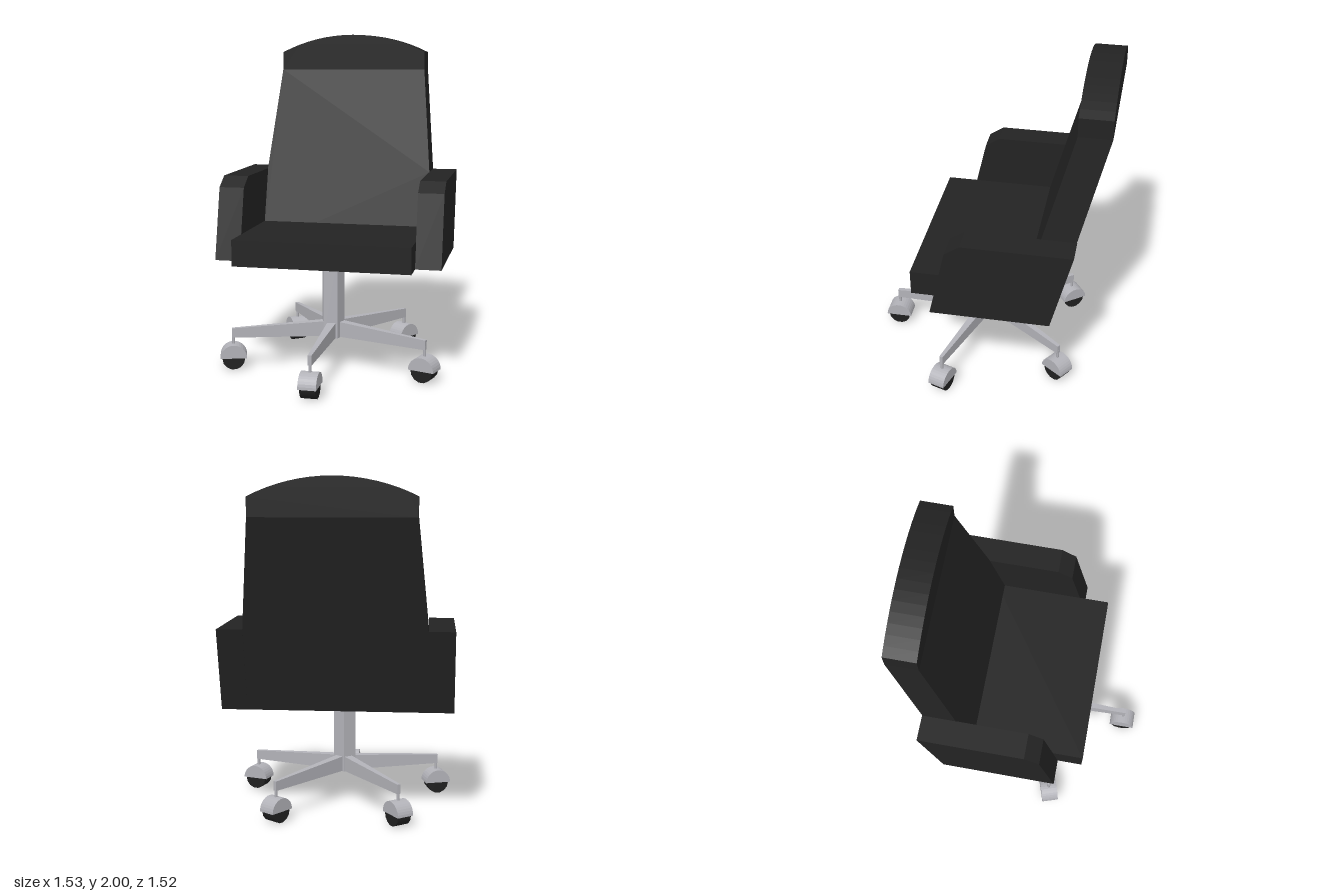
import * as THREE from 'three';

const fabric = new THREE.MeshStandardMaterial({ color: 0x232323 });
fabric.name = 'black upholstery';
const metal = new THREE.MeshStandardMaterial({ color: 0xb2b2b8 });
metal.name = 'grey metal';
const rubber = new THREE.MeshStandardMaterial({ color: 0x202020 });
rubber.name = 'black rubber';

function add(parent, name, geometry, material, x = 0, y = 0, z = 0) {
  const mesh = new THREE.Mesh(geometry, material);
  mesh.name = name;
  mesh.position.set(x, y, z);
  parent.add(mesh);
  return mesh;
}

const shapeOf = (points) => new THREE.Shape(points.map(([x, y]) => new THREE.Vector2(x, y)));

// Side profile given as (z, y), extruded to a width centred on x = 0
function sideProfile(shape, width, curveSegments = 12) {
  const g = new THREE.ExtrudeGeometry(shape, { depth: width, bevelEnabled: false, curveSegments });
  g.rotateY(-Math.PI / 2);
  g.translate(width / 2, 0, 0);
  return g;
}

// Front outline given as (x, y), with depth following the lean of the backrest
function leaningSlab(shape) {
  const g = new THREE.ExtrudeGeometry(shape, { depth: 1, bevelEnabled: false });
  const p = g.attributes.position;
  for (let i = 0; i < p.count; i++) {
    const y = Math.min(p.getY(i), 1.78);
    const back = -0.366 - 0.247 * (y - 0.665);
    const front = -0.2 - 0.268 * (y - 0.82);
    p.setZ(i, p.getZ(i) > 0.5 ? front : back);
  }
  g.computeVertexNormals();
  return g;
}

function createUpholstery() {
  const group = new THREE.Group();
  group.name = 'upholstery';

  add(group, 'seat', new THREE.BoxGeometry(1.044, 0.155, 0.725), fabric, 0, 0.7425, 0.1125);

  // Backrest: tapered leaning body, then an upright arched top
  add(group, 'backrest', leaningSlab(shapeOf([
    [-0.522, 0.665], [0.522, 0.665], [0.522, 1.15], [0.461, 1.78], [-0.461, 1.78], [-0.522, 1.15],
  ])), fabric);
  const sag = 0.11, half = 0.461;
  const radius = (half * half + sag * sag) / (2 * sag);
  const spread = Math.asin(half / radius);
  const outline = [[-half, 1.78], [half, 1.78]];
  for (let i = 0; i <= 16; i++) {
    const a = spread * (1 - i / 8);
    outline.push([radius * Math.sin(a), 2 - radius + radius * Math.cos(a)]);
  }
  add(group, 'backrestTop', leaningSlab(shapeOf(outline)), fabric);

  // Armrests
  const arm = sideProfile(shapeOf([
    [-0.366, 0.665], [0.327, 0.665], [0.228, 1.09], [0.139, 1.15], [-0.488, 1.15],
  ]), 0.152);
  for (const side of [-1, 1]) {
    add(group, side > 0 ? 'leftArmrest' : 'rightArmrest', arm, fabric, side * 0.597, 0, 0);
  }
  return group;
}

// Tapered leg running out along +z
function legGeometry(start, end) {
  const g = new THREE.BoxGeometry(1, 1, 1);
  const p = g.attributes.position;
  for (let i = 0; i < p.count; i++) {
    const outer = p.getZ(i) > 0;
    p.setXYZ(i,
      p.getX(i) * (outer ? 0.022 : 0.055),
      p.getY(i) > 0 ? (outer ? 0.245 : 0.282) : 0.188,
      outer ? end : start);
  }
  g.computeVertexNormals();
  return g;
}

function createBase() {
  const base = new THREE.Group();
  base.name = 'base';

  // Five-sided column, flat side forward
  const column = new THREE.CylinderGeometry(0.072, 0.072, 0.485, 5).toNonIndexed();
  column.computeVertexNormals();
  column.rotateY(Math.PI);
  add(base, 'column', column, metal, -0.005, 0.4275, 0.012);

  const reach = 0.608;
  const leg = legGeometry(0.02, reach + 0.008);
  const stem = new THREE.CylinderGeometry(0.009, 0.009, 0.08, 8);
  const halfDisc = new THREE.Shape();
  halfDisc.absarc(0, 0, 0.08, 0, Math.PI, false);
  const hood = sideProfile(halfDisc, 0.105, 8);
  const wheel = new THREE.CylinderGeometry(0.068, 0.068, 0.09, 14);
  wheel.rotateZ(Math.PI / 2);

  for (let i = 0; i < 5; i++) {
    const spoke = new THREE.Group();
    spoke.name = 'spoke' + (i + 1);
    spoke.rotation.y = (i * 2 * Math.PI) / 5;
    add(spoke, 'leg', leg, metal);
    add(spoke, 'casterStem', stem, metal, 0, 0.17, reach);
    add(spoke, 'casterHood', hood, metal, 0, 0.07, reach);
    add(spoke, 'casterWheel', wheel, rubber, 0, 0.068, reach);
    base.add(spoke);
  }
  return base;
}

export function createModel() {
  const chair = new THREE.Group();
  chair.name = 'officeChair';
  const upholstery = createUpholstery();
  upholstery.position.x = 0.026;
  const base = createBase();
  base.position.set(0.027, 0, 0.106);
  chair.add(upholstery, base);

  // The chair is turned slightly towards its left
  chair.rotation.y = 0.32;
  const model = new THREE.Group();
  model.name = 'model';
  model.add(chair);
  return model;
}
